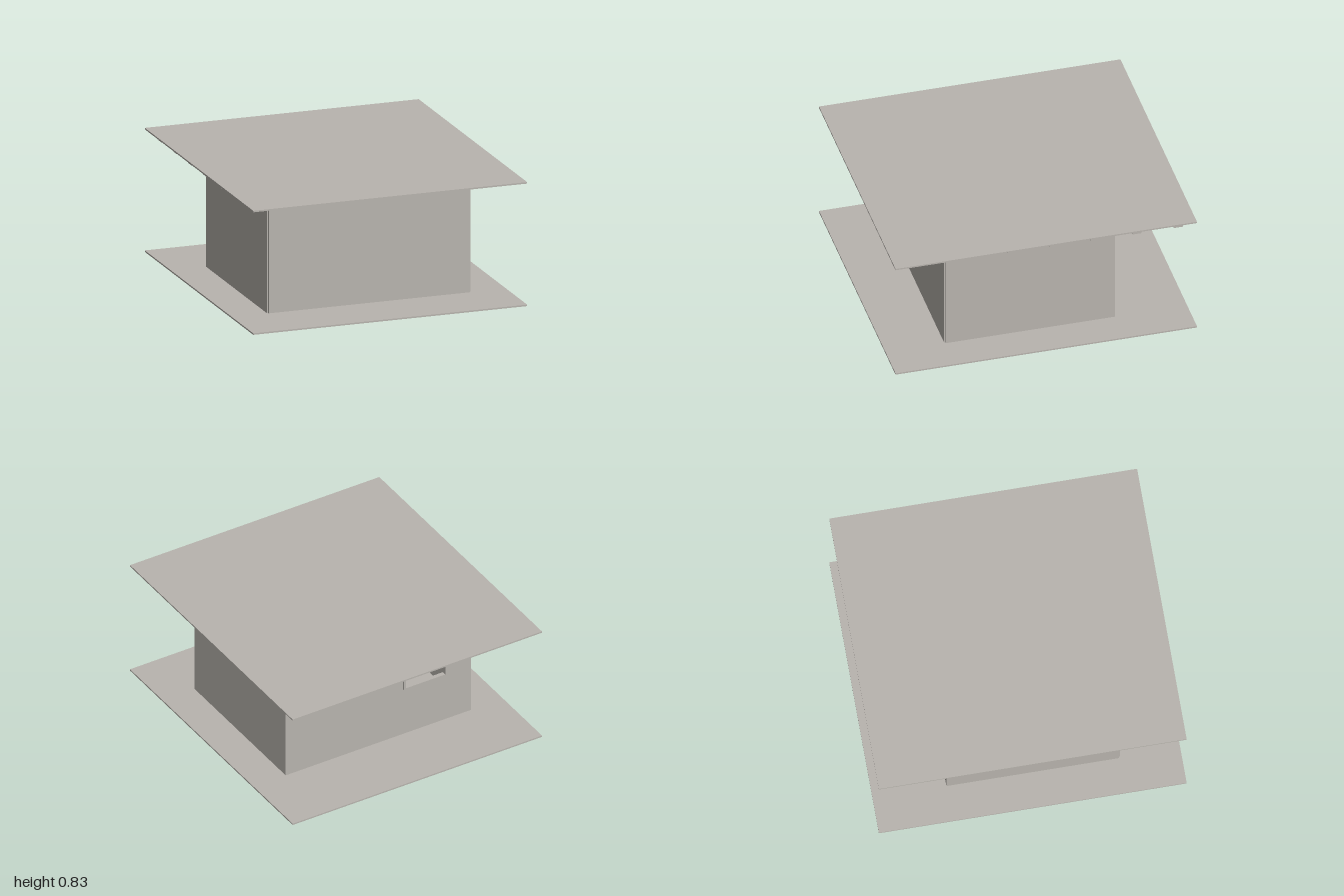
import * as THREE from 'three';

export function createModel() {
  const model = new THREE.Group();
  const stone = new THREE.MeshStandardMaterial({ color: 0xb8b4ae });
  stone.name = 'warm grey';

  // Box given by its min and max on each axis
  function box(name, [x0, x1], [y0, y1], [z0, z1], parent = model) {
    const mesh = new THREE.Mesh(new THREE.BoxGeometry(x1 - x0, y1 - y0, z1 - z0), stone);
    mesh.position.set((x0 + x1) / 2, (y0 + y1) / 2, (z0 + z1) / 2);
    mesh.name = name;
    parent.add(mesh);
    return mesh;
  }

  const base = 0.01, eaves = 0.818;

  // Floor and roof slabs
  box('floorSlab', [-0.935, 0.935], [0, base], [-1, 1]);
  box('roofSlab', [-0.935, 0.935], [eaves, 0.828], [-1, 1]);

  // Front and side walls, with the front wall set between the corners
  box('frontWall', [-0.685, 0.685], [base, eaves], [0.6, 0.61]);
  box('leftWall', [0.685, 0.695], [base, eaves], [-0.52, 0.6]);
  box('rightWall', [-0.695, -0.685], [base, eaves], [-0.52, 0.6]);

  // Back wall with a window opening
  const win = { x0: -0.505, x1: -0.185, y0: 0.36, y1: 0.7 };
  const rectangle = (Type, x0, x1, y0, y1) => new Type([
    new THREE.Vector2(x0, y0), new THREE.Vector2(x1, y0),
    new THREE.Vector2(x1, y1), new THREE.Vector2(x0, y1),
  ]);
  function panel(name, outer, hole, depth, z) {
    const shape = rectangle(THREE.Shape, ...outer);
    shape.holes.push(rectangle(THREE.Path, ...hole));
    const mesh = new THREE.Mesh(new THREE.ExtrudeGeometry(shape, { depth, bevelEnabled: false }), stone);
    mesh.position.z = z;
    mesh.name = name;
    model.add(mesh);
  }
  const t = 0.012;
  panel('backWall', [-0.685, 0.685, base, eaves], [win.x0, win.x1, win.y0, win.y1], 0.01, -0.52);
  panel('windowFrame', [win.x0, win.x1, win.y0, win.y1],
    [win.x0 + t, win.x1 - t, win.y0 + t, win.y1 - t], 0.03, -0.535);

  // Roof beams running from side to side
  for (let i = 0; i < 5; i++) {
    const z = 0.205 - i * 0.275;
    box('roofBeam', [-0.87, 0.87], [0.76, 0.81], [z - 0.03, z + 0.03]);
  }

  // Slatted rack against the inside of the right wall
  const rack = new THREE.Group();
  rack.name = 'slattedRack';
  model.add(rack);
  for (const y of [0.4, 0.72]) box('rackRail', [-0.685, -0.655], [y, y + 0.03], [-0.3, -0.06], rack);
  for (let i = 0; i < 7; i++) {
    const z = -0.295 + i * 0.037;
    box('rackSlat', [-0.68, -0.665], [0.43, 0.72], [z, z + 0.015], rack);
  }
  return model;
}
